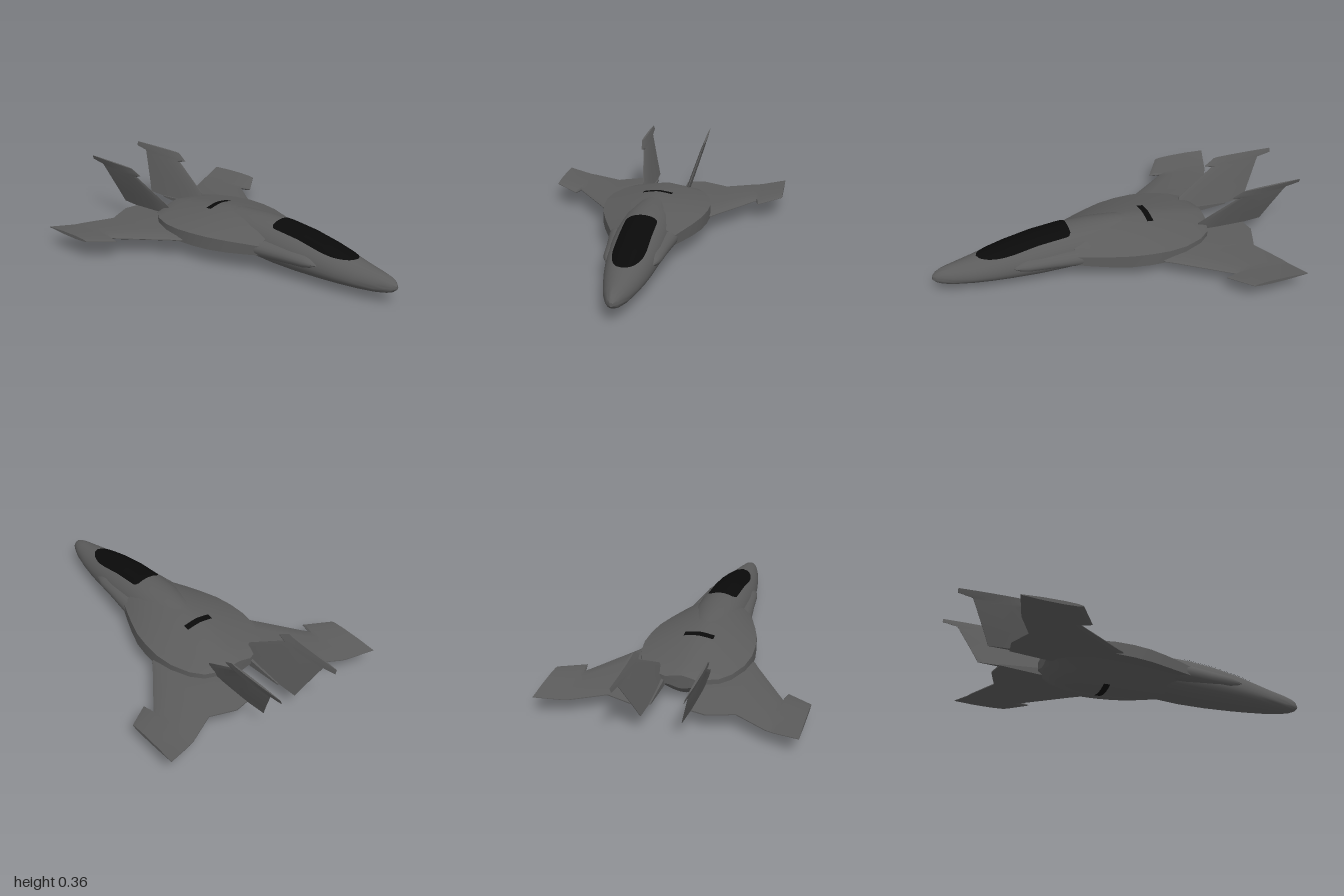
import * as THREE from 'three';
import { toCreasedNormals } from 'three/addons/utils/BufferGeometryUtils.js';

const hull = new THREE.MeshStandardMaterial({ color: 0x5c5c5c });
hull.name = 'hull grey';
const black = new THREE.MeshStandardMaterial({ color: 0x0a0a0a });
black.name = 'glass black';

// Skin a list of closed rings, cap both ends and make the faces point outward
function loft(rings, crease = 0.7) {
  const n = rings[0].length;
  const pos = rings.flat().flat();
  const tris = [];
  for (let i = 0; i < rings.length - 1; i++)
    for (let j = 0; j < n; j++) {
      const a = i * n + j, b = i * n + (j + 1) % n;
      tris.push([a, b, a + n], [b, b + n, a + n]);
    }
  [0, rings.length - 1].forEach((r, end) => {
    const c = pos.length / 3;
    for (let k = 0; k < 3; k++) pos.push(rings[r].reduce((s, p) => s + p[k], 0) / n);
    for (let j = 0; j < n; j++) {
      const a = r * n + j, b = r * n + (j + 1) % n;
      tris.push(end ? [a, b, c] : [b, a, c]);
    }
  });
  const v = (i) => new THREE.Vector3().fromArray(pos, i * 3);
  const volume = tris.reduce((s, [a, b, c]) => s + v(a).dot(v(b).cross(v(c))), 0);
  if (volume < 0) tris.forEach((t) => t.reverse());
  const g = new THREE.BufferGeometry();
  g.setAttribute('position', new THREE.Float32BufferAttribute(pos, 3));
  g.setIndex(tris.flat());
  return toCreasedNormals(g, crease);
}

// Linear lookup in a table sorted by falling z
function at(table, z) {
  let i = 0;
  while (i < table.length - 2 && z < table[i + 1][0]) i++;
  const a = table[i], b = table[i + 1], t = (z - a[0]) / (b[0] - a[0]);
  return a.map((q, k) => q + (b[k] - q) * t);
}

// Nose: z, half width, top, bottom
const NOSE = [
  [0.999, 0.008, 0.105, 0.085], [0.98, 0.028, 0.125, 0.068], [0.95, 0.042, 0.138, 0.056],
  [0.9, 0.06, 0.148, 0.046], [0.8, 0.085, 0.165, 0.036], [0.7, 0.105, 0.187, 0.03],
  [0.6, 0.12, 0.21, 0.025], [0.45, 0.135, 0.236, 0.02], [0.3, 0.14, 0.25, 0.02],
  [0.15, 0.14, 0.251, 0.03], [0, 0.12, 0.244, 0.04], [-0.15, 0.08, 0.222, 0.06],
];
const waist = (top, bot) => bot + 0.42 * (top - bot);

// Central body: z, half width, top, bottom, upper edge, lower edge
const BODY = [
  [0.27, 0.165, 0.236, 0.03, 0.15, 0.1], [0.2, 0.195, 0.24, 0.03, 0.153, 0.095],
  [0.1, 0.235, 0.242, 0.018, 0.155, 0.09], [0, 0.268, 0.24, 0.008, 0.157, 0.088],
  [-0.1, 0.285, 0.235, 0.002, 0.157, 0.088], [-0.2, 0.29, 0.222, 0, 0.155, 0.088],
  [-0.3, 0.276, 0.205, 0, 0.152, 0.088], [-0.4, 0.235, 0.188, 0.012, 0.15, 0.09],
  [-0.46, 0.185, 0.176, 0.045, 0.15, 0.095], [-0.5, 0.08, 0.165, 0.09, 0.148, 0.105],
];
const bodyTop = (r, t) => r[4] + (r[2] - r[4]) * (1 - Math.abs(t) ** 1.4);
const bodyBottom = (r, t) => r[5] + (r[3] - r[5]) * (1 + Math.cos(Math.PI * t)) / 2;

// Ring of an ellipse with separate upper and lower heights
function oval(z, cx, cy, w, up, down, n = 32) {
  return Array.from({ length: n }, (_, i) => {
    const a = (i / n) * Math.PI * 2, s = Math.sin(a);
    return [cx + w * Math.cos(a), cy + s * (s > 0 ? up : down), z];
  });
}

function bodyRing(r) {
  const N = 20, ring = [];
  for (let i = 0; i <= N; i++) { const t = -1 + 2 * i / N; ring.push([t * r[1], bodyTop(r, t), r[0]]); }
  for (let i = 0; i <= N; i++) { const t = 1 - 2 * i / N; ring.push([t * r[1], bodyBottom(r, t), r[0]]); }
  return ring;
}

// Thin sheet lying on a surface: height(x, z), half width(z)
function sheet(z0, z1, width, height, rows, cols) {
  const g = new THREE.PlaneGeometry(1, 1, cols, rows);
  const p = g.attributes.position;
  for (let i = 0; i < p.count; i++) {
    const z = z0 + (z1 - z0) * (p.getY(i) + 0.5);
    const x = 2 * p.getX(i) * width(z);
    p.setXYZ(i, x, height(x, z), z);
  }
  g.computeVertexNormals();
  return g;
}

// Blade section along a chord from the leading to the trailing edge: [chord, half thickness]
const BLADE = [[0, 0.12], [0.08, 0.7], [0.3, 1], [0.65, 0.85], [1, 0.15]];
const blade = (lead, trail, half, place) => [
  ...BLADE.map(([c, h]) => place(lead + (trail - lead) * c, h * half)),
  ...BLADE.slice().reverse().map(([c, h]) => place(lead + (trail - lead) * c, -h * half)),
];

// Wing: x, leading z, trailing z, height, half thickness
const WING = [
  [0.09, -0.1, -0.7, 0.105, 0.022], [0.19, -0.12, -0.72, 0.103, 0.022],
  [0.3, -0.17, -0.68, 0.1, 0.019], [0.325, -0.21, -0.67, 0.099, 0.018],
  [0.49, -0.44, -0.755, 0.094, 0.014], [0.515, -0.475, -0.763, 0.094, 0.013],
  [0.53, -0.415, -0.768, 0.095, 0.013], [0.66, -0.505, -0.81, 0.112, 0.009],
];

// Tail fin: y, leading z, trailing z, half thickness
const FIN = [
  [0.105, -0.42, -0.815, 0.011], [0.18, -0.43, -0.85, 0.011], [0.31, -0.64, -0.915, 0.009],
  [0.322, -0.6, -0.922, 0.008], [0.335, -0.622, -1, 0.007], [0.357, -0.66, -1, 0.006],
];

// Side cheek: z, outer x, half height
const CHEEK = [
  [0.6, 0.117, 0.012], [0.56, 0.136, 0.03], [0.52, 0.146, 0.038],
  [0.4, 0.158, 0.043], [0.25, 0.178, 0.048], [0.1, 0.195, 0.045],
];

export function createModel() {
  const model = new THREE.Group();
  const add = (name, geometry, material) => {
    const m = new THREE.Mesh(geometry, material);
    m.name = name;
    model.add(m);
  };

  // Fuselage
  add('nose', loft(NOSE.map(([z, w, top, bot]) => {
    const cy = waist(top, bot);
    return oval(z, 0, cy, w, top - cy, cy - bot);
  })), hull);
  add('centralBody', loft(BODY.map(bodyRing)), hull);

  // Canopy glass following the top of the nose, rounded at both ends
  const canopyWidth = (z) => {
    const front = Math.min(1, (0.765 - z) / 0.2), back = Math.min(1, (z - 0.27) / 0.03);
    return 0.082 * Math.sqrt(Math.max(0, 1 - (1 - front) ** 2))
      * (0.75 + 0.25 * Math.sqrt(Math.max(0, 1 - (1 - back) ** 2)));
  };
  const noseTop = (x, z) => {
    const [, w, top, bot] = at(NOSE, z), cy = waist(top, bot);
    return cy + (top - cy) * Math.sqrt(Math.max(0, 1 - (x / w) ** 2)) + 0.004;
  };
  add('canopy', sheet(0.765, 0.27, canopyWidth, noseTop, 40, 16), black);

  // Dark slots above and below the central body
  const slot = () => 0.08;
  const above = (x, z) => { const r = at(BODY, z); return bodyTop(r, x / r[1]) + 0.004; };
  const below = (x, z) => { const r = at(BODY, z); return bodyBottom(r, x / r[1]) - 0.003; };
  add('upperSlot', sheet(-0.155, -0.19, slot, above, 2, 16), black);
  add('lowerSlot', sheet(-0.19, -0.155, slot, below, 2, 16), black);
  // Sheets run from z0 at the near edge, so turn any that face the wrong way
  for (const [name, up] of [['canopy', 1], ['upperSlot', 1], ['lowerSlot', -1]]) {
    const g = model.getObjectByName(name).geometry;
    const sum = g.attributes.normal.array.reduce((s, q, i) => s + (i % 3 === 1 ? q : 0), 0);
    if (sum * up < 0) { g.index.array.reverse(); g.computeVertexNormals(); }
  }

  // Mirrored parts
  for (const [side, s] of [['left', 1], ['right', -1]]) {
    add(side + 'Cheek', loft(CHEEK.map(([z, x, h]) =>
      oval(z, s * (x - 0.06), 0.125, 0.06, h, h, 20))), hull);
    add(side + 'Wing', loft(WING.map(([x, lead, trail, y, half]) =>
      blade(lead, trail, half, (z, h) => [s * x, y + h, z])), 0.5), hull);
    add(side + 'Fin', loft(FIN.map(([y, lead, trail, half]) =>
      blade(lead, trail, half, (z, h) =>
        [s * (0.108 + (y - 0.12) * 0.31 + (z + 0.8) * 0.02 + h), y, z])), 0.5), hull);
  }
  return model;
}
